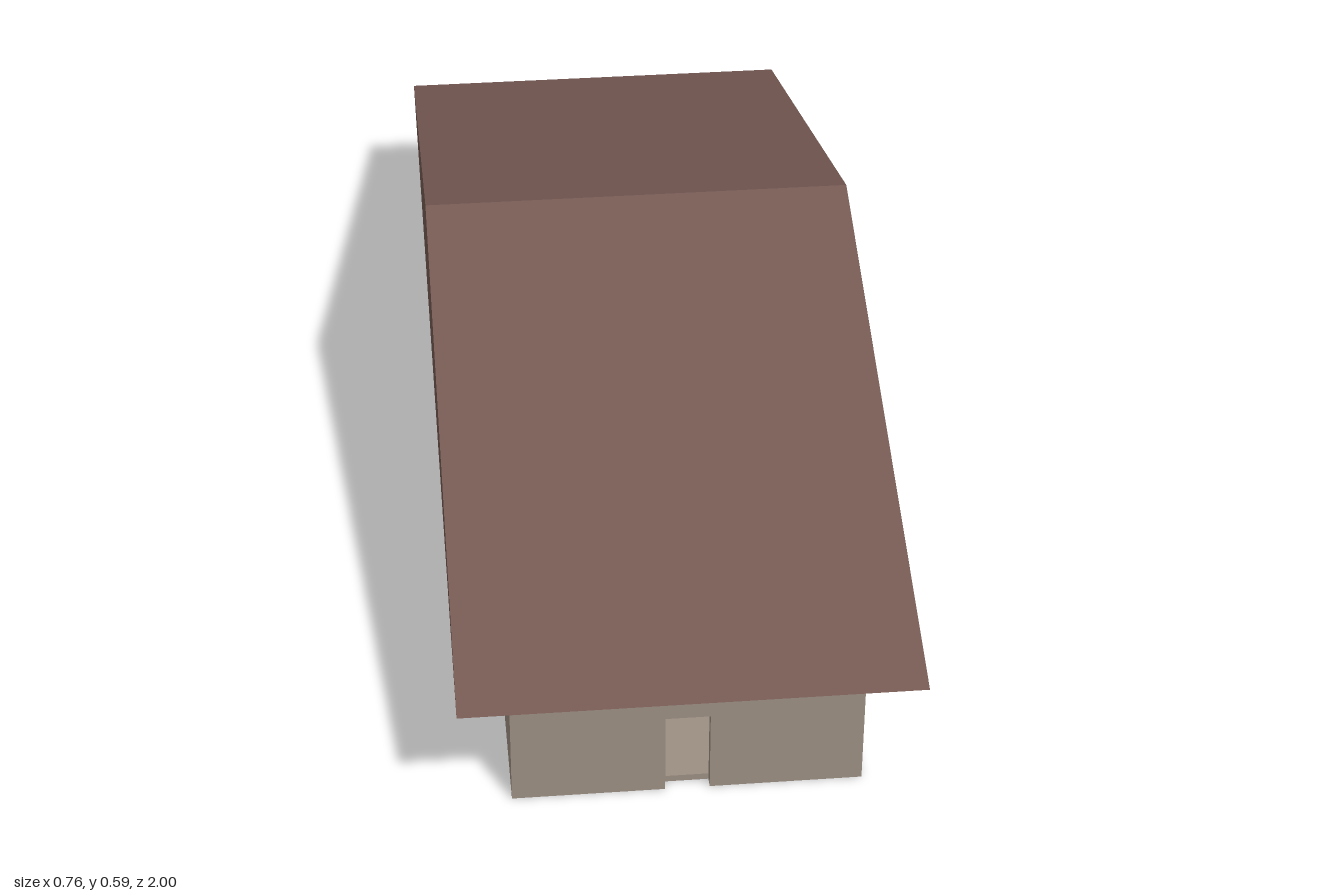
import * as THREE from 'three';

const wallMat = new THREE.MeshStandardMaterial({ color: 0x9c8f83 });
wallMat.name = 'stoneWall';
const roofMat = new THREE.MeshStandardMaterial({ color: 0x765a54, side: THREE.DoubleSide });
roofMat.name = 'brownRoof';

const W = 0.291, D = 0.913, H = 0.258, T = 0.018; // half width, half depth, wall height, wall thickness
const RX = 0.378, RZ = 1, RIDGE = 0.588;          // roof half width, half depth, ridge height
const DOOR_W = 0.037, DOOR_H = 0.153, FLOOR = 0.012;

function add(group, name, geometry, material, x = 0, y = 0, z = 0) {
  const mesh = new THREE.Mesh(geometry, material);
  mesh.name = name;
  mesh.position.set(x, y, z);
  group.add(mesh);
}

// Flat faces from convex corner loops, without shared normals
function faces(loops) {
  const pos = [];
  for (const loop of loops)
    for (let i = 1; i < loop.length - 1; i++) pos.push(...loop[0], ...loop[i], ...loop[i + 1]);
  const g = new THREE.BufferGeometry();
  g.setAttribute('position', new THREE.Float32BufferAttribute(pos, 3));
  g.computeVertexNormals();
  return g;
}

export function createModel() {
  const house = new THREE.Group();
  house.name = 'house';

  // Side and back walls around an open interior
  for (const s of [1, -1])
    add(house, s > 0 ? 'leftWall' : 'rightWall', new THREE.BoxGeometry(T, H, 2 * D), wallMat, s * (W - T / 2), H / 2, 0);
  const inner = W - T;
  add(house, 'backWall', new THREE.BoxGeometry(2 * W, H, T), wallMat, 0, H / 2, -D + T / 2);

  // Front wall with a doorway cut down to the ground
  const front = new THREE.Shape([
    [-W, 0], [-DOOR_W, 0], [-DOOR_W, DOOR_H], [DOOR_W, DOOR_H],
    [DOOR_W, 0], [W, 0], [W, H], [-W, H],
  ].map(([x, y]) => new THREE.Vector2(x, y)));
  add(house, 'frontWall', new THREE.ExtrudeGeometry(front, { depth: T, bevelEnabled: false }), wallMat, 0, 0, D - T);

  // Floor slab inside the walls
  add(house, 'floor', new THREE.BoxGeometry(2 * inner, FLOOR, 2 * (D - T)), wallMat, 0, FLOOR / 2, 0);

  // Gabled roof shell, open underneath
  const eave = (sx, sz) => [sx * RX, H, sz * RZ];
  const ridge = (sx) => [sx * RX, RIDGE, 0];
  add(house, 'roofSlopes', faces([
    [eave(-1, 1), eave(1, 1), ridge(1), ridge(-1)],
    [eave(1, -1), eave(-1, -1), ridge(-1), ridge(1)],
  ]), roofMat);
  add(house, 'roofGables', faces([
    [eave(1, 1), eave(1, -1), ridge(1)],
    [eave(-1, -1), eave(-1, 1), ridge(-1)],
  ]), roofMat);

  return house;
}
